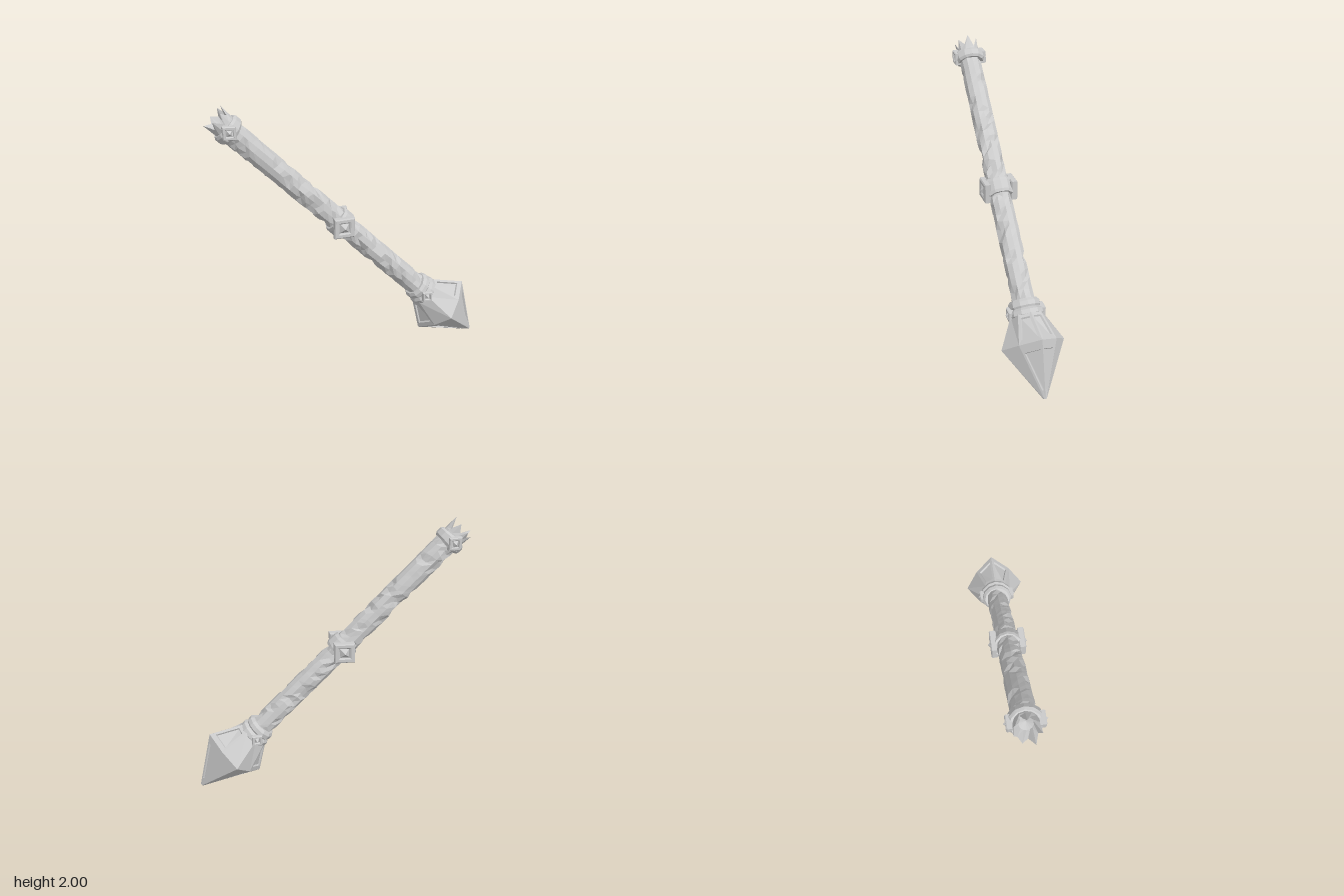
import * as THREE from 'three';

const mat = new THREE.MeshStandardMaterial({ color: 0xcccccc, flatShading: true, side: THREE.DoubleSide });
const V = (x, y, z) => new THREE.Vector3(x, y, z);

let seed = 7;
const rand = () => (seed = (seed * 16807) % 2147483647) / 2147483647;

function meshFrom(name, points) {
  const geo = new THREE.BufferGeometry().setFromPoints(points);
  geo.computeVertexNormals();
  const mesh = new THREE.Mesh(geo, mat);
  mesh.name = name;
  return mesh;
}

// Ring of n points around the y axis; rule(angle, index) gives [radius, y]
function ring(n, rule) {
  return Array.from({ length: n }, (_, j) => {
    const a = (j / n) * Math.PI * 2;
    const [r, y] = rule(a, j);
    return V(r * Math.cos(a), y, r * Math.sin(a));
  });
}

// Skin between successive rings, lowest first
function loft(name, rings) {
  const out = [];
  const n = rings[0].length;
  for (let i = 0; i < rings.length - 1; i++) {
    for (let j = 0; j < n; j++) {
      const k = (j + 1) % n;
      const a = rings[i][j], b = rings[i][k], c = rings[i + 1][j], d = rings[i + 1][k];
      out.push(a, c, b, b, c, d);
    }
  }
  return meshFrom(name, out);
}

// Quad with a raised border and a sunken floor
function sunkenPanel(corners, inset, depth, out) {
  const mid = corners.reduce((s, p) => s.add(p), V(0, 0, 0)).divideScalar(4);
  const normal = corners[2].clone().sub(corners[0]).cross(corners[3].clone().sub(corners[1])).normalize();
  const rim = corners.map(p => p.clone().lerp(mid, inset));
  const floor = rim.map(p => p.clone().lerp(mid, 0.06).addScaledVector(normal, -depth));
  const strip = (p, q) => {
    for (let i = 0; i < 4; i++) {
      const k = (i + 1) % 4;
      out.push(p[i], p[k], q[i], p[k], q[k], q[i]);
    }
  };
  strip(corners, rim);
  strip(rim, floor);
  out.push(floor[0], floor[1], floor[2], floor[0], floor[2], floor[3]);
}

// Spiked head: ridges on the sides, pyramids front and back, panels between
function makeHead() {
  const section = (y, side, diag, front) =>
    ring(8, (a, j) => [j % 2 ? diag : j % 4 ? front : side, y]);
  const rings = [
    section(0, 0.014, 0.012, 0.012),
    section(0.371, 0.25, 0.19, 0.228),
    section(0.585, 0.115, 0.115, 0.115),
  ];
  const out = [];
  for (let i = 0; i < 2; i++) {
    for (let j = 0; j < 8; j++) {
      const k = (j + 1) % 8;
      const quad = [rings[i][j], rings[i + 1][j], rings[i + 1][k], rings[i][k]];
      if (j % 4 === 0 || j % 4 === 3) sunkenPanel(quad, 0.3, 0.014, out);
      else out.push(quad[0], quad[1], quad[2], quad[0], quad[2], quad[3]);
    }
  }
  // close the tip and the shoulder
  for (let j = 1; j < 7; j++) {
    out.push(rings[0][0], rings[0][j], rings[0][j + 1]);
    out.push(rings[2][0], rings[2][j + 1], rings[2][j]);
  }
  return meshFrom('spikedHead', out);
}

// Hewn shaft: facets with scattered chips
function makeShaft() {
  const rows = 44, y0 = 0.56, y1 = 2.6;
  const rings = [];
  for (let i = 0; i <= rows; i++) {
    const y = y0 + ((y1 - y0) * i) / rows;
    rings.push(ring(12, () => {
      const chipped = rand() < 0.2;
      return [chipped ? 0.067 : 0.08 + rand() * 0.004, y + (rand() - 0.5) * 0.032];
    }));
  }
  return loft('shaft', rings);
}

// Band with a bevelled profile of [y, radius], widening towards front and back
function makeBand(name, profile, flare = 0) {
  const mid = (profile[0][0] + profile[profile.length - 1][0]) / 2;
  return loft(name, profile.map(([y, r]) => ring(12, a => {
    const f = Math.abs(Math.sin(a)) ** 4;
    return [r + 0.008 * f, mid + (y - mid) * (1 + flare * f)];
  })));
}

// Diamond frame with a faceted stone, on the front and the back
function makeStones(name, y, w, h, z) {
  const group = new THREE.Group();
  group.name = name;
  const diamond = (path, k) => path.moveTo(w * k, 0).lineTo(0, h * k).lineTo(-w * k, 0).lineTo(0, -h * k).closePath();
  const shape = diamond(new THREE.Shape(), 0.9);
  shape.holes.push(diamond(new THREE.Path(), 0.62));
  const frameGeo = new THREE.ExtrudeGeometry(shape, {
    depth: 0.035, bevelEnabled: true, bevelSegments: 1, bevelSize: w * 0.08, bevelThickness: 0.007,
  });
  const stoneGeo = new THREE.OctahedronGeometry(1, 0).scale(w * 0.6, h * 0.6, 0.04);
  for (const turn of [0, Math.PI]) {
    const side = new THREE.Group();
    const frame = new THREE.Mesh(frameGeo, mat);
    frame.name = 'stoneFrame';
    frame.position.set(0, y, z - 0.042);
    const stone = new THREE.Mesh(stoneGeo, mat);
    stone.name = 'stone';
    stone.position.set(0, y, z - 0.025);
    side.add(frame, stone);
    side.rotation.y = turn;
    group.add(side);
  }
  return group;
}

// Splintered hollow end
function makeBrokenEnd() {
  return loft('brokenEnd', [
    ring(14, () => [0.083, 2.56]),
    ring(14, () => [0.082, 2.63]),
    ring(14, (a, j) => j % 2 ? [0.078, 2.64 + rand() * 0.04] : [0.088, 2.7 + rand() * 0.04]),
    ring(14, () => [0.045, 2.62]),
    ring(14, () => [0.001, 2.59]),
  ]);
}

export function createModel() {
  const weapon = new THREE.Group();
  weapon.name = 'mace';
  weapon.add(
    makeHead(),
    makeShaft(),
    makeBrokenEnd(),
    // collar by the head
    makeBand('lowerCollar', [[0.56, 0.1], [0.575, 0.117], [0.605, 0.117], [0.625, 0.095], [0.625, 0.07]]),
    makeBand('upperCollar', [[0.615, 0.09], [0.635, 0.108], [0.665, 0.108], [0.685, 0.092], [0.685, 0.07]]),
    makeStones('headStones', 0.6, 0.05, 0.055, 0.135),
    // grip band
    makeBand('gripBand', [[1.465, 0.07], [1.465, 0.095], [1.485, 0.103], [1.55, 0.103], [1.57, 0.095], [1.57, 0.07]], 0.35),
    makeStones('gripStones', 1.517, 0.105, 0.1, 0.124),
    // collar by the broken end
    makeBand('endCollar', [[2.545, 0.07], [2.545, 0.092], [2.56, 0.105], [2.6, 0.105], [2.615, 0.092], [2.615, 0.07]], 0.3),
    makeStones('endStones', 2.59, 0.06, 0.065, 0.12),
  );
  // lean the whole weapon on the diagonal, tip at the lower left side
  weapon.rotation.z = Math.PI / 4;
  weapon.position.set(0.985, 0.01, 0);
  const model = new THREE.Group();
  model.name = 'model';
  model.add(weapon);
  return model;
}
